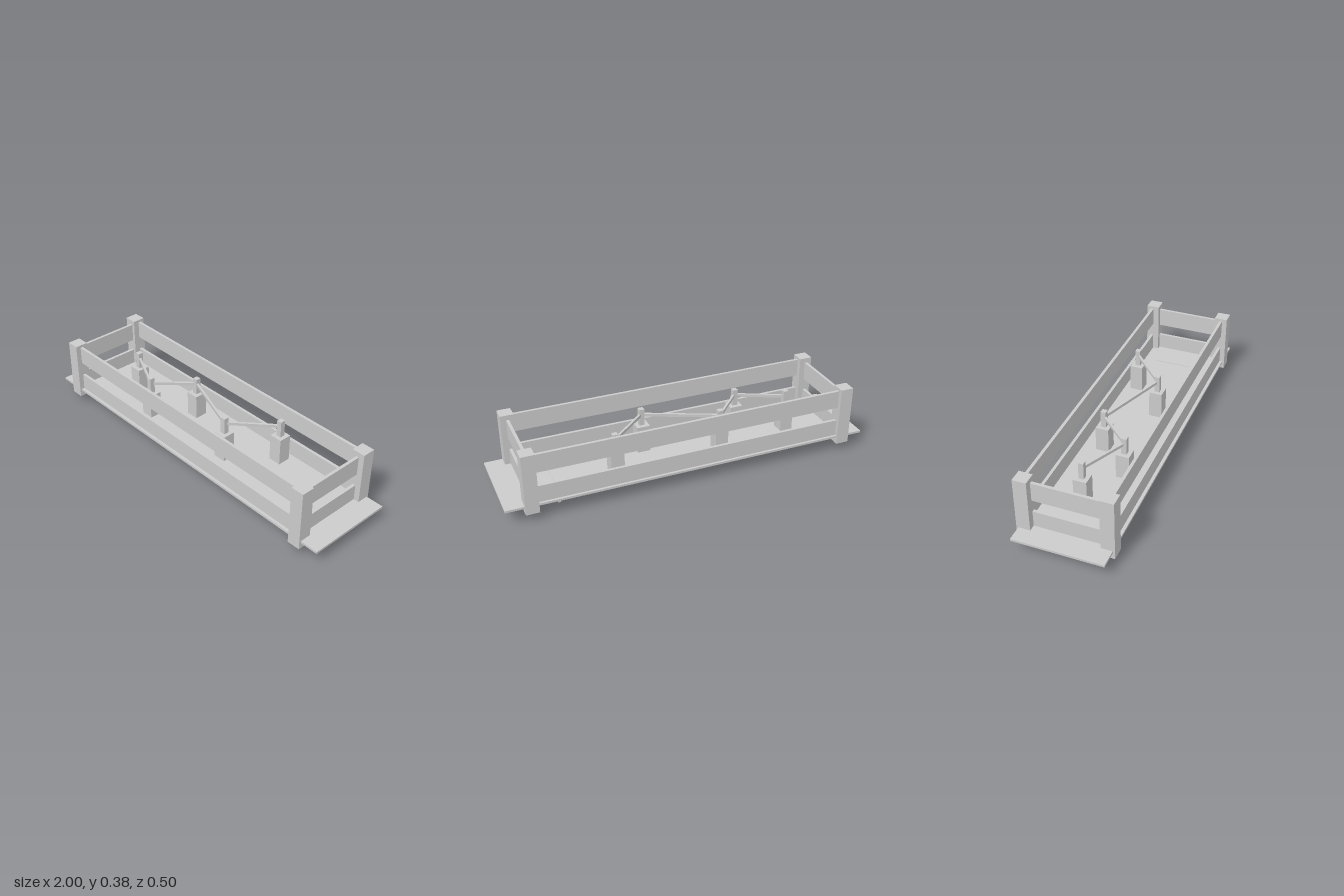
import * as THREE from 'three';

export function createModel() {
  const model = new THREE.Group();
  const material = new THREE.MeshStandardMaterial({ color: 0xcccccc, flatShading: true });

  // Box given by its extents along each axis
  function box(name, [x0, x1], [y0, y1], [z0, z1]) {
    const mesh = new THREE.Mesh(new THREE.BoxGeometry(x1 - x0, y1 - y0, z1 - z0), material);
    mesh.name = name;
    mesh.position.set((x0 + x1) / 2, (y0 + y1) / 2, (z0 + z1) / 2);
    model.add(mesh);
    return mesh;
  }
  const around = (c, size) => [c - size / 2, c + size / 2];

  // Base board and the fin that passes through it
  box('baseBoard', [-1, 1], [0.08, 0.092], [-0.237, 0.237]);
  box('fin', [0.695, 0.711], [0, 0.095], [-0.134, 0.059]);

  // Corner posts
  for (const [x, z] of [[-0.88, -0.211], [-0.868, 0.212], [0.866, -0.211], [0.866, 0.212]]) {
    box('cornerPost', around(x, 0.071), [0.047, 0.377], around(z, 0.072));
  }

  // Long rails along the front and back
  for (const z of [-0.216, 0.212]) {
    box('longUpperRail', [-0.86, 0.85], [0.262, 0.362], around(z, 0.016));
    box('longLowerRail', [-0.86, 0.85], [0.085, 0.184], around(z, 0.016));
  }

  // Short rails across the ends
  for (const x of [-0.871, 0.863]) {
    box('endUpperRail', around(x, 0.016), [0.247, 0.35], [-0.19, 0.19]);
    box('endLowerRail', around(x, 0.016), [0.079, 0.18], [-0.19, 0.19]);
  }

  // Blocks with pegs: x, z, block bottom
  const stations = [
    [-0.622, -0.034, 0.067], [-0.372, 0.085, 0.067], [-0.2, -0.097, 0.067],
    [0.186, 0.055, 0.079], [0.398, -0.138, 0.079],
  ];
  for (const [x, z, y] of stations) {
    box('block', around(x, 0.071), [y, y + 0.163], around(z, 0.071));
    box('peg', around(x, 0.028), [y + 0.15, y + 0.255], around(z, 0.028));
  }

  // Connecting bars running from peg to peg
  for (let i = 0; i < stations.length - 1; i++) {
    const [ax, az, ay] = stations[i], [bx, bz, by] = stations[i + 1];
    const a = new THREE.Vector3(ax, ay + 0.22, az);
    const b = new THREE.Vector3(bx, by + 0.22, bz);
    const bar = new THREE.Mesh(new THREE.BoxGeometry(0.012, 0.016, a.distanceTo(b)), material);
    bar.name = 'connectingBar';
    bar.position.copy(a).lerp(b, 0.5);
    bar.lookAt(b);
    model.add(bar);
  }
  return model;
}
